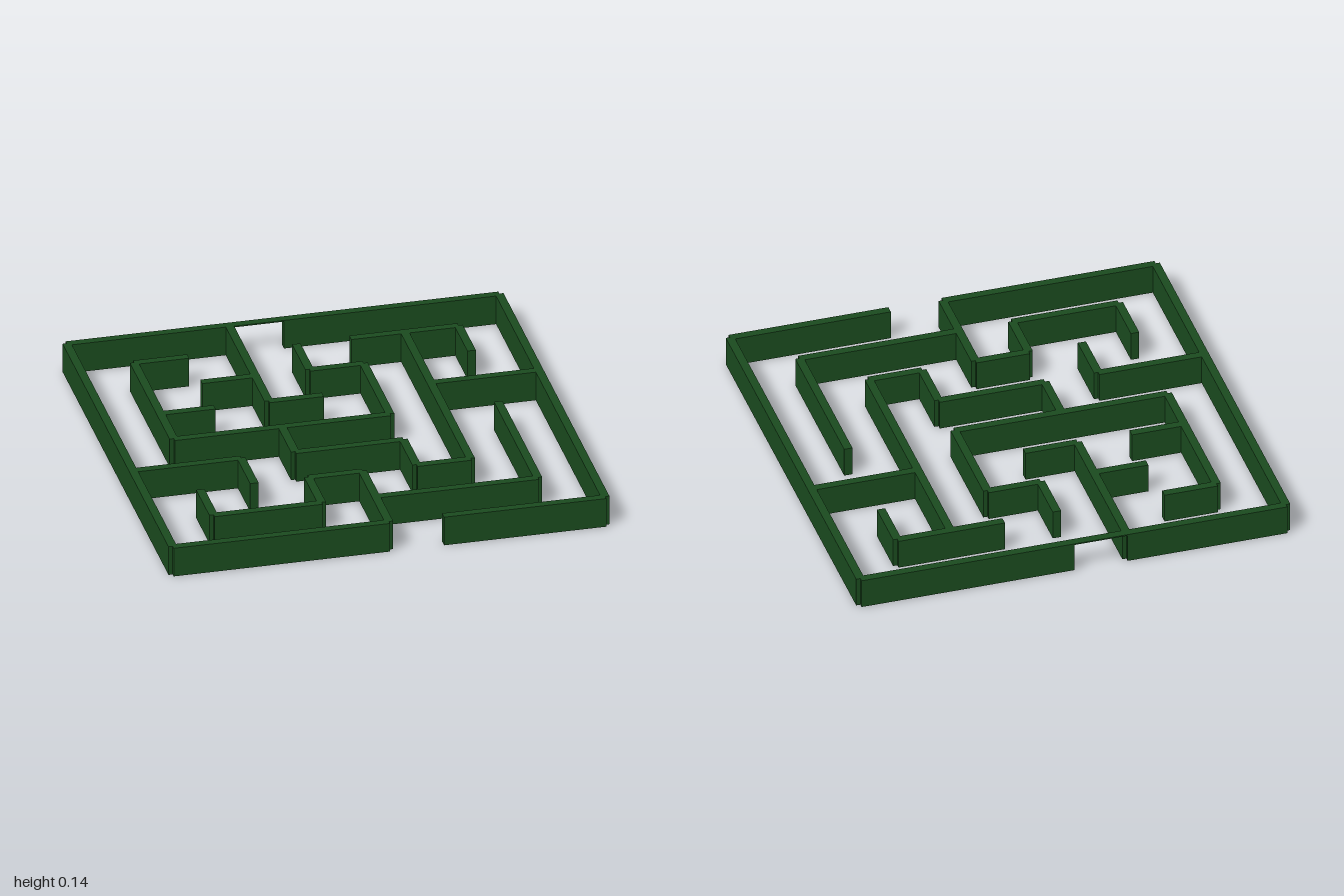
import * as THREE from 'three';

const CELL = 0.245, THICK = 0.038, HEIGHT = 0.14;

// Wall runs in grid units: [fixed line, start, end]
const ALONG_X = [
  [-4, -4, -1], [-4, 0, 4],
  [-3, -3, -2], [-3, 1, 3],
  [-2, -2, -1], [-2, 0, 1],
  [-1, -3, -2], [-1, -1, 0], [-1, 2, 4],
  [0, -3, 1],
  [1, -4, -2], [1, -1, 1],
  [2, -1, 0], [2, 1, 2],
  [3, -3, -1], [3, 0, 3],
  [4, -4, 0], [4, 1, 4],
];
const ALONG_Z = [
  [-4, -4, 4],
  [-3, -3, 0], [-3, 2, 3],
  [-2, 1, 2],
  [-1, -4, -1], [-1, 0, 1], [-1, 2, 3],
  [0, -3, -2], [0, 2, 4],
  [1, -2, 0], [1, 1, 2],
  [2, -3, 2],
  [3, -3, -2], [3, 0, 3],
  [4, -4, 4],
];

export function createModel() {
  const maze = new THREE.Group();
  maze.name = 'hedgeMaze';
  const hedge = new THREE.MeshStandardMaterial({ color: 0x1a4a1e });

  function addWall(name, [line, start, end], turned, height = HEIGHT) {
    const geometry = new THREE.BoxGeometry((end - start) * CELL, height, THICK);
    if (turned) geometry.rotateY(Math.PI / 2);
    const wall = new THREE.Mesh(geometry, hedge);
    const mid = ((start + end) / 2) * CELL;
    const y = HEIGHT - height / 2;
    if (turned) wall.position.set(line * CELL, y, mid);
    else wall.position.set(mid, y, line * CELL);
    wall.name = name;
    maze.add(wall);
  }

  const kind = (line) => (Math.abs(line) === 4 ? 'outerWall' : 'innerWall');
  for (const run of ALONG_X) addWall(kind(run[0]), run, false);
  for (const run of ALONG_Z) addWall(kind(run[0]), run, true);

  // Thin strip bridging the top of the back opening
  addWall('backLintel', [-4, -1, 0], false, 0.006);
  return maze;
}
